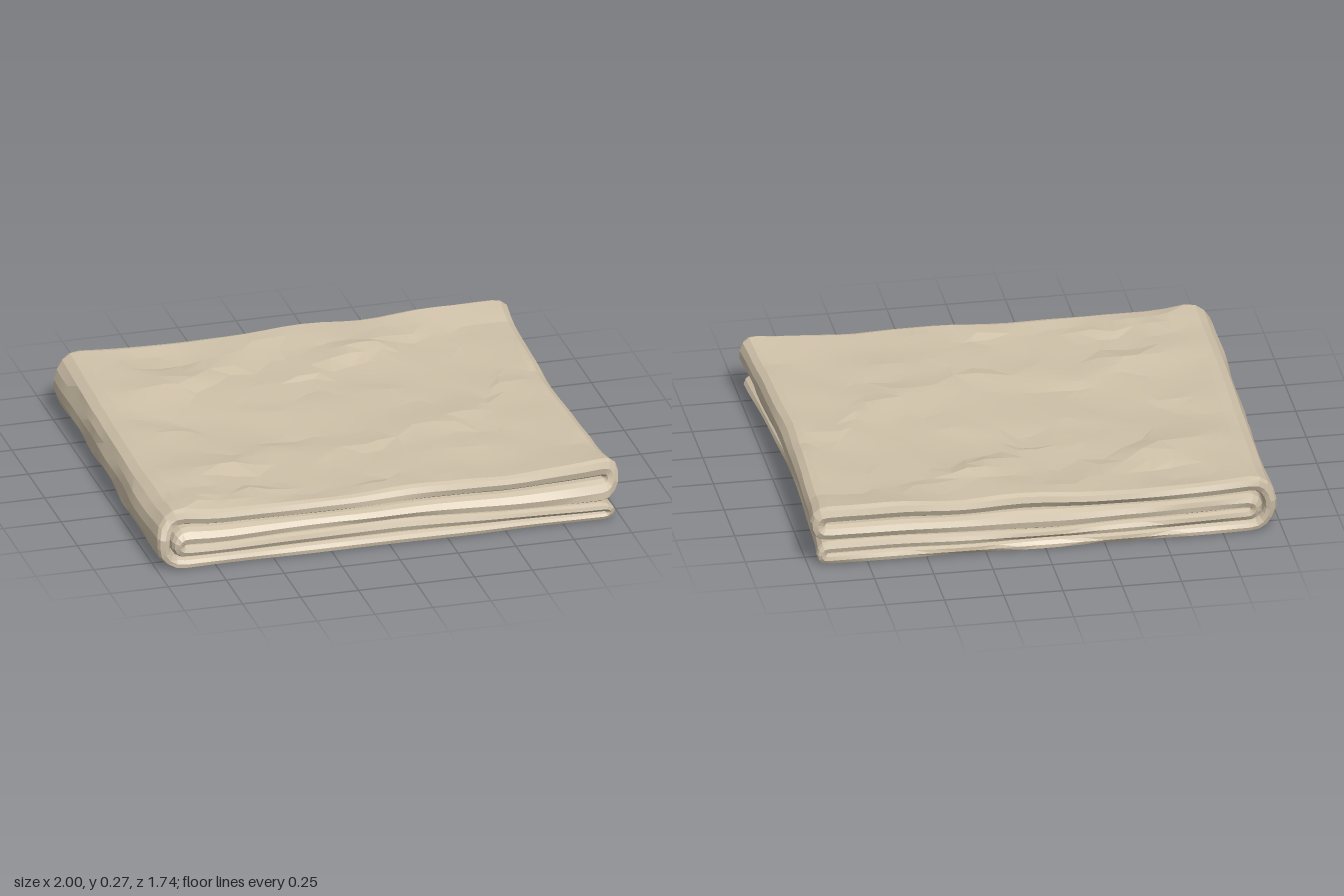
import * as THREE from 'three';
import { toCreasedNormals, mergeVertices } from 'three/addons/utils/BufferGeometryUtils.js';

const clamp01 = (v) => Math.min(1, Math.max(0, v));
const smooth = (a, b, v) => { const t = clamp01((v - a) / (b - a)); return t * t * (3 - 2 * t); };
const bell = (v, w) => Math.exp(-(v * v) / (w * w));

// Seeded value noise in two dimensions
const hash = (i, j) => { const s = Math.sin(i * 127.1 + j * 311.7 + 7.3) * 43758.5453; return s - Math.floor(s); };
function noise(x, z) {
  const i = Math.floor(x), j = Math.floor(z), u = smooth(0, 1, x - i), v = smooth(0, 1, z - j);
  const a = hash(i, j) * (1 - u) + hash(i + 1, j) * u;
  const b = hash(i, j + 1) * (1 - u) + hash(i + 1, j + 1) * u;
  return (a * (1 - v) + b * v) * 2 - 1;
}

// Larger creases on the top: x, z, length, angle, height
const CREASES = [
  [-0.6, -0.42, 0.25, 0.3, 0.020], [-0.3, -0.62, 0.3, 0.6, 0.014], [0.15, -0.5, 0.3, 0.45, 0.020],
  [0.0, -0.72, 0.25, 0.2, 0.018], [0.42, -0.64, 0.22, 0.35, 0.012], [0.7, -0.79, 0.25, -0.05, 0.022],
  [-0.55, 0.40, 0.3, 0.35, 0.019], [0.0, 0.36, 0.3, 0.3, 0.018], [0.3, 0.54, 0.3, 0.1, 0.014],
  [-0.5, 0.70, 0.25, 0.3, 0.014], [0.5, 0.2, 0.3, 0.6, 0.014], [-0.8, 0.74, 0.14, 0.8, 0.018],
];

function wrinkle(x, z) {
  let h = 0.007 * noise(x * 2.2 + z * 1.2, z * 4.4 - x * 2) + 0.008 * noise(x * 4 + 9, z * 8 - x * 3);
  for (const [cx, cz, len, angle, height] of CREASES) {
    const dx = x - cx, dz = z - cz, c = Math.cos(angle), s = Math.sin(angle);
    const along = dx * c - dz * s, across = dx * s + dz * c;
    // gentle on the far side, steep on the near side
    h += height * bell(along, len) * bell(across, across < 0 ? 0.13 : 0.05);
  }
  return h;
}

// Soft sag and wrinkles, growing from the flat base to the top layer
function drape(p) {
  const { x, y, z } = p, rise = clamp01(y / 0.24), k = rise * rise;
  const e = Math.abs(z / 0.86);
  const lift = 0.020 * x ** 4 + 0.017 * e ** 4 - 0.012 * bell(x + 0.35, 0.35) + 0.012 * bell(x - 0.22, 0.18);
  p.y = Math.max(0, y + k * (lift + wrinkle(x, z) - 0.016)
    - bell(y - 0.1, 0.06) * (0.012 + 0.02 * z) * smooth(0.2, 1, x)
    + 0.014 * bell(y - 0.11, 0.05) * noise(x * 2.5 + 4, z * 2.6));
  // folded sides waver and draw in a little between the corners
  const side = smooth(0.6, 1, Math.abs(x));
  const draw = x > 0 ? 0.04 * (1 - e ** 2) : 0.03 * smooth(0.6, -0.85, z);
  p.x -= Math.sign(x) * side * (draw - 0.01 * noise(z * 4, y * 18 + Math.sign(x) * 5));
  // open ends: the top sits slightly back at the front, each layer uneven
  const end = smooth(0.6, 0.86, Math.abs(z));
  if (z > 0) p.z -= end * 0.03 * smooth(0.11, 0.22, y);
  p.z += end * 0.009 * noise(x * 3.1, y * 22 + Math.sign(z) * 4);
  // irregular facets
  const loose = 0.04 * (1 - side) * (1 - end);
  p.x += loose * noise(x * 9 + 3, z * 9);
  p.z += loose * noise(x * 9, z * 9 + 31);
  return p;
}

// Centre line of the cloth seen from the front, as [x, y, half thickness]
function foldPath() {
  const path = [];
  const run = (x0, x1, y, h, n = 20) => {
    for (let i = 0; i < n; i++) path.push([x0 + (x1 - x0) * i / n, y, h]);
  };
  const arc = (x, yFrom, yTo, rx, turn, hFrom, hTo, n) => {
    for (let i = 0; i < n; i++) {
      const t = i / n, a = Math.PI * t;
      path.push([x + turn * rx * Math.sin(a) ** 0.85,
        (yFrom + yTo) / 2 + (yFrom - yTo) / 2 * Math.cos(a), hFrom + (hTo - hFrom) * t]);
    }
  };
  run(0.92, -0.88, 0.024, 0.022);                           // bottom layer
  arc(-0.88, 0.024, 0.212, 0.094, -1, 0.022, 0.032, 9);     // outer left fold
  run(-0.88, 0.92, 0.212, 0.032, 22);                       // top layer
  arc(0.92, 0.212, 0.137, 0.047, 1, 0.032, 0.033, 7);       // upper right fold
  run(0.92, -0.865, 0.137, 0.033);                          // third layer
  arc(-0.865, 0.137, 0.074, 0.045, -1, 0.033, 0.024, 7);    // inner left fold
  run(-0.865, 0.92, 0.074, 0.024);                          // second layer
  arc(0.92, 0.074, 0.024, 0.028, 1, 0.024, 0.022, 6);       // lower right fold
  return path;
}

// Thickness section along z as [z, rim offset in z, offset along normal]
function thicknessLoop() {
  const loop = [], n = 20, rim = 4, zEnd = 0.835;
  for (const s of [1, -1]) {
    for (let i = 0; i < n; i++) loop.push([s * zEnd * (2 * i / n - 1), 0, s]);
    for (let i = 0; i < rim; i++) {
      const a = Math.PI * i / rim;
      loop.push([s * zEnd, s * Math.sin(a), s * Math.cos(a)]);
    }
  }
  return loop;
}

function clothGeometry() {
  const path = foldPath(), loop = thicknessLoop(), N = path.length, M = loop.length;
  const positions = [], index = [];
  path.forEach(([x, y, h], i) => {
    const a = path[(i + N - 1) % N], b = path[(i + 1) % N];
    const l = Math.hypot(b[0] - a[0], b[1] - a[1]);
    const nx = -(b[1] - a[1]) / l, ny = (b[0] - a[0]) / l;
    loop.forEach(([z, rz, off], j) => {
      const p = drape(new THREE.Vector3(x + nx * off * h, y + ny * off * h, z + rz * h));
      positions.push(p.x, p.y, p.z);
      const i2 = (i + 1) % N, j2 = (j + 1) % M;
      const A = i * M + j, B = i * M + j2, C = i2 * M + j2, D = i2 * M + j;
      if (hash(i, j) > 0.5) index.push(A, B, C, A, C, D);
      else index.push(A, B, D, B, C, D);
    });
  });
  const g = new THREE.BufferGeometry();
  g.setAttribute('position', new THREE.Float32BufferAttribute(positions, 3));
  g.setIndex(index);
  return toCreasedNormals(mergeVertices(g), 0.13);
}

export function createModel() {
  const group = new THREE.Group();
  group.name = 'foldedBlanket';
  const cloth = new THREE.MeshStandardMaterial({ color: 0xcfc1a9 });
  cloth.name = 'beige cloth';
  const mesh = new THREE.Mesh(clothGeometry(), cloth);
  mesh.name = 'foldedCloth';
  group.add(mesh);
  return group;
}
